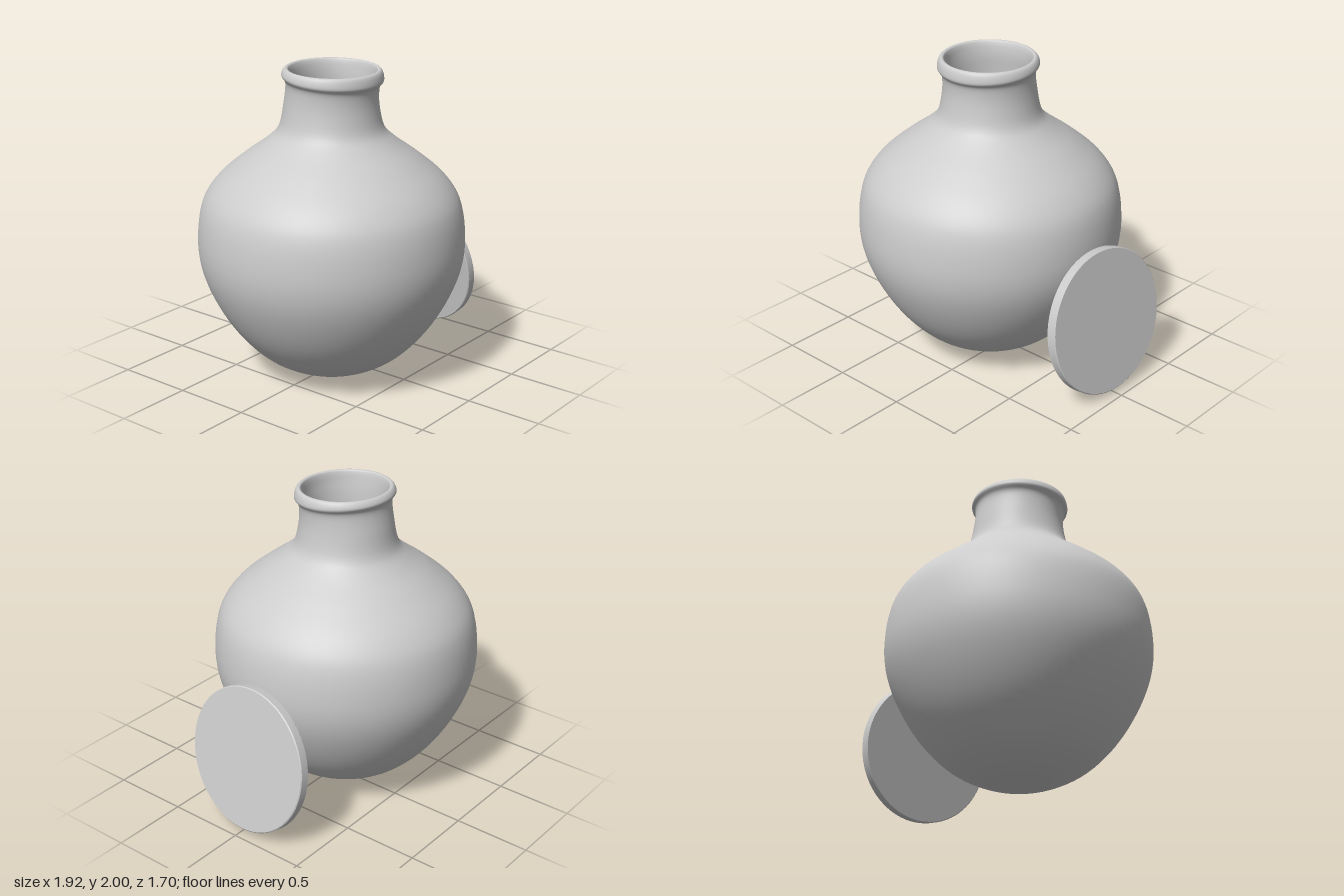
import * as THREE from 'three';
import { mergeVertices, toCreasedNormals } from 'three/addons/utils/BufferGeometryUtils.js';

// Profile points [radius, height] from the base up the outside, over the lip, down the inside
const OUTER = [[0, 0], [0.17, 0.014], [0.3, 0.055], [0.46, 0.148], [0.62, 0.312], [0.75, 0.52], [0.83, 0.73],
  [0.848, 0.92], [0.81, 1.153], [0.725, 1.285], [0.566, 1.423], [0.407, 1.54], [0.335, 1.614], [0.302, 1.735], [0.293, 1.86]];
const LIP = [[0.3, 1.905], [0.321, 1.935], [0.321, 1.955], [0.31, 1.983], [0.297, 1.993], [0.283, 1.99], [0.276, 1.975]];
const INNER = [[0.268, 1.93], [0.26, 1.85], [0.263, 1.7], [0.3, 1.595], [0.37, 1.51], [0.53, 1.39], [0.685, 1.255],
  [0.767, 1.135], [0.806, 0.92], [0.79, 0.74], [0.71, 0.54], [0.59, 0.345], [0.435, 0.185], [0.28, 0.095], [0, 0.05]];

function makeJar() {
  const curve = new THREE.CatmullRomCurve3([...OUTER, ...LIP, ...INNER].map(([r, y]) => new THREE.Vector3(r, y, 0)));
  const steps = 5 * (curve.points.length - 1);
  const profile = curve.getPoints(steps).map(p => new THREE.Vector2(Math.max(0, p.x), p.y));
  let geo = new THREE.LatheGeometry(profile, 80);
  geo.deleteAttribute('uv');
  geo.deleteAttribute('normal');

  // The hand-thrown lip dips and leans a little towards the front
  const pos = geo.attributes.position;
  for (let i = 0; i < pos.count; i++) {
    const y = pos.getY(i), z = pos.getZ(i);
    const lean = THREE.MathUtils.smoothstep(y, 1.75, 1.93);
    const flatten = THREE.MathUtils.smoothstep(y, 1.93, 1.99);
    pos.setY(i, y - lean * (0.07 - 0.045 * flatten) * z);
    pos.setZ(i, z * (1 - 0.03 * lean) + 0.012 * lean);
  }
  geo = mergeVertices(geo, 1e-5);
  geo.computeVertexNormals();
  return geo;
}

// Flat round lid with a fine bevel on both rims
function makeLid(radius, thickness, bevel) {
  const h = thickness / 2;
  const profile = [[0, -h], [radius - bevel, -h], [radius, -h + bevel], [radius, h - bevel], [radius - bevel, h], [0, h]]
    .map(([r, y]) => new THREE.Vector2(r, y));
  return toCreasedNormals(new THREE.LatheGeometry(profile, 80), 0.5);
}

export function createModel() {
  const model = new THREE.Group();
  const material = new THREE.MeshStandardMaterial({ color: 0xcccccc });

  const jar = new THREE.Mesh(makeJar(), material);
  jar.name = 'jar';
  jar.position.x = -0.115;
  model.add(jar);

  // Lid leaning against the jar's side
  const lid = new THREE.Mesh(makeLid(0.467, 0.065, 0.006), material);
  lid.name = 'lid';
  const facing = new THREE.Vector3(0.98, 0.175, 0.07).normalize();
  lid.quaternion.setFromUnitVectors(new THREE.Vector3(0, 1, 0), facing);
  lid.position.set(0.842, 0.487, 0.003);
  model.add(lid);

  return model;
}
